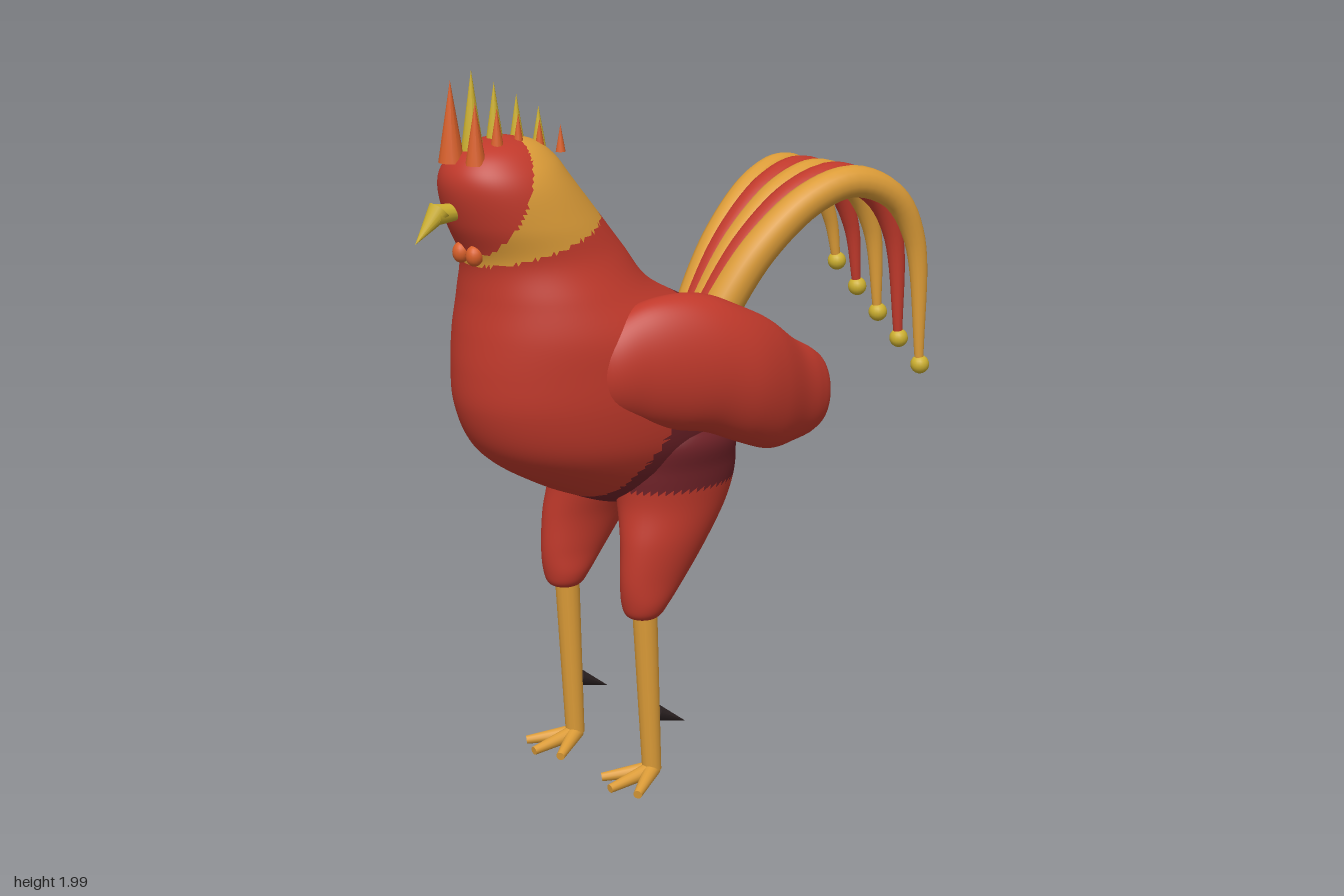
import * as THREE from 'three';
import { mergeVertices } from 'three/addons/utils/BufferGeometryUtils.js';

const V = (x, y, z) => new THREE.Vector3(x, y, z);
const paint = (name, color) => {
  const m = new THREE.MeshStandardMaterial({ color });
  m.name = name;
  return m;
};

// Smooth closed body from oval sections [position along axis, centre x, centre other, radius x, radius other]
function loft(axis, rows, around = 72, steps = 7) {
  const spline = new THREE.CubicInterpolant(rows.map((r, i) => i), rows.flat(), 5);
  const n = (rows.length - 1) * steps;
  let geo = new THREE.PlaneGeometry(1, 1, around, n);
  const pos = geo.attributes.position;
  for (let j = 0; j <= n; j++) {
    const [t, cx, co, rx, ro] = spline.evaluate(j / steps);
    for (let i = 0; i <= around; i++) {
      const a = ((i % around) / around) * Math.PI * 2;
      const x = cx + Math.max(rx, 0) * Math.cos(a), o = co + Math.max(ro, 0) * Math.sin(a);
      if (axis === 'y') pos.setXYZ(j * (around + 1) + i, x, t, o);
      else pos.setXYZ(j * (around + 1) + i, x, o, t);
    }
  }
  geo.deleteAttribute('uv');
  geo.deleteAttribute('normal');
  geo = mergeVertices(geo, 1e-5);
  geo.computeVertexNormals();
  return geo;
}

// Sort faces into material groups; rule(x, y, z) gives the material number
function paintFaces(geo, count, rule) {
  const pos = geo.attributes.position, idx = geo.index.array;
  const lists = Array.from({ length: count }, () => []);
  for (let f = 0; f < idx.length; f += 3) {
    const c = V(0, 0, 0);
    for (let k = 0; k < 3; k++) c.add(V(0, 0, 0).fromBufferAttribute(pos, idx[f + k]));
    c.divideScalar(3);
    lists[rule(c.x, c.y, c.z)].push(idx[f], idx[f + 1], idx[f + 2]);
  }
  geo.setIndex(lists.flat());
  let start = 0;
  lists.forEach((l, i) => { geo.addGroup(start, l.length, i); start += l.length; });
  return geo;
}

// Tapered round rod between two points
function rod(from, to, r0, r1, sides = 14) {
  const dir = to.clone().sub(from);
  const geo = new THREE.CylinderGeometry(r1, r0, dir.length(), sides);
  geo.applyQuaternion(new THREE.Quaternion().setFromUnitVectors(V(0, 1, 0), dir.clone().normalize()));
  const mid = from.clone().add(to).multiplyScalar(0.5);
  return geo.translate(mid.x, mid.y, mid.z);
}

// Tube whose radius follows a rule along its length
function taperedTube(curve, radiusAt, n = 48, sides = 14) {
  const geo = new THREE.TubeGeometry(curve, n, 1, sides);
  const pos = geo.attributes.position, p = V(0, 0, 0);
  for (let i = 0; i <= n; i++) {
    const c = curve.getPointAt(i / n);
    for (let k = 0; k <= sides; k++) {
      const id = i * (sides + 1) + k;
      p.fromBufferAttribute(pos, id).sub(c).multiplyScalar(radiusAt(i / n)).add(c);
      pos.setXYZ(id, p.x, p.y, p.z);
    }
  }
  return geo;
}

export function createModel() {
  const model = new THREE.Group();
  const red = paint('red feathers', 0xc0392b), maroon = paint('maroon feathers', 0x702228);
  const black = paint('black feathers', 0x2e2424), gold = paint('gold feathers', 0xdc9c38);
  const yellow = paint('yellow horn', 0xcdb030), orange = paint('orange comb', 0xd9602a);
  const add = (name, geo, mat, parent = model) => {
    const mesh = new THREE.Mesh(geo, mat);
    mesh.name = name;
    parent.add(mesh);
    return mesh;
  };
  const group = (name) => {
    const g = new THREE.Group();
    g.name = name;
    model.add(g);
    return g;
  };

  // Body, neck and head: [height, front z, back z, half width]
  const trunk = [
    [0.77, 0.13, 0.13, 0], [0.783, 0.24, 0.02, 0.09], [0.82, 0.34, -0.03, 0.16], [0.86, 0.43, -0.12, 0.21],
    [0.93, 0.55, -0.22, 0.255], [1.0, 0.62, -0.262, 0.285], [1.1, 0.66, -0.275, 0.302], [1.2, 0.665, -0.22, 0.302],
    [1.3, 0.655, -0.07, 0.285], [1.4, 0.64, 0.11, 0.24], [1.5, 0.64, 0.19, 0.197], [1.6, 0.685, 0.27, 0.182],
    [1.7, 0.71, 0.35, 0.16], [1.76, 0.69, 0.395, 0.125], [1.8, 0.635, 0.45, 0.075], [1.82, 0.54, 0.54, 0],
  ].map(([y, f, b, w]) => [y, 0, (f + b) / 2, w, (f - b) / 2]);
  const face = V(0, 1.71, 0.68);
  const bodyRule = (x, y, z) => {
    if (y > 1.49 + (0.64 - z) * 0.3 && y > 1.45) return face.distanceTo(V(x, y, z)) < 0.2 ? 0 : 3;
    if (y > 1.4) return 0;
    if (z < -0.04) return 2;
    return z < 0.04 + (1.34 - y) * 0.56 ? 1 : 0;
  };
  add('body', paintFaces(loft('y', trunk, 96, 8), 4, bodyRule), [red, maroon, black, gold]);

  for (const s of [1, -1]) {
    const side = s > 0 ? 'left' : 'right';

    // Wing, swept back from the shoulder
    add(side + 'Wing', loft('z', [
      [0.45, 0.2, 1.21, 0, 0], [0.4, 0.22, 1.21, 0.065, 0.1], [0.3, 0.25, 1.22, 0.088, 0.155],
      [0.2, 0.275, 1.215, 0.105, 0.182], [0.1, 0.292, 1.2, 0.118, 0.188], [0, 0.306, 1.158, 0.12, 0.188],
      [-0.1, 0.305, 1.115, 0.105, 0.18], [-0.2, 0.288, 1.08, 0.083, 0.145], [-0.27, 0.287, 1.067, 0.062, 0.118],
      [-0.315, 0.285, 1.062, 0.042, 0.08], [-0.335, 0.284, 1.06, 0, 0],
    ].map(([t, x, ...r]) => [t, x * s, ...r])), red);

    // Thigh, darker where it joins the hip
    const thigh = loft('y', [
      [0.48, 0.176, 0.218, 0, 0], [0.492, 0.176, 0.218, 0.042, 0.044], [0.53, 0.177, 0.21, 0.062, 0.068],
      [0.6, 0.179, 0.183, 0.071, 0.102], [0.7, 0.176, 0.142, 0.09, 0.137], [0.8, 0.156, 0.1, 0.118, 0.168],
      [0.9, 0.148, 0.09, 0.138, 0.185], [1.0, 0.15, 0.1, 0.14, 0.16], [1.1, 0.16, 0.12, 0, 0],
    ].map(([t, x, ...r]) => [t, x * s, ...r]), 48);
    add(side + 'Thigh', paintFaces(thigh, 2, (x, y) => (y > 0.85 ? 1 : 0)), [red, maroon]);

    // Shank, three toes and spur
    const foot = group(side + 'Foot'), x = 0.175 * s;
    add('shank', rod(V(x, 0.04, 0.188), V(x, 0.52, 0.212), 0.027, 0.035), gold, foot);
    for (const [dx, dz] of [[-0.08, 0.3], [0, 0.333], [0.08, 0.3]])
      add('toe', rod(V(x, 0.038, 0.185), V(x + dx, 0.016, dz), 0.023, 0.012), gold, foot);
    add('spur', rod(V(x, 0.2, 0.175), V(x, 0.15, 0.07), 0.024, 0, 10), black, foot);

    // Wattle
    add(side + 'Wattle', new THREE.SphereGeometry(0.023, 16, 12).scale(1, 1.2, 1)
      .translate(0.03 * s, 1.52, 0.65), orange);
  }

  // Beak with a hooked tip
  const beak = group('beak');
  add('beakBase', rod(V(0, 1.635, 0.66), V(0, 1.635, 0.75), 0.02, 0.028), yellow, beak);
  add('beakTip', rod(V(0, 1.645, 0.735), V(0, 1.565, 0.812), 0.031, 0, 16), yellow, beak);

  // Comb: three rows of spikes shrinking towards the back
  const comb = group('comb');
  const spike = (px, z, base, tip, r, mat) => {
    add('combSpike', rod(V(px, base, z), V(px, tip, z), r, 0, 12), mat, comb);
  };
  for (let i = 0; i < 5; i++) {
    const z = 0.68 - 0.07 * i, k = 1 - 0.13 * i;
    spike(-0.022, z, 1.76, 1.97 - 0.032 * i, 0.034 * k, orange);
    spike(0.05 - 0.004 * i, z - 0.025, 1.76, 1.92 - 0.022 * i, 0.027 * k, orange);
    if (i < 4) spike(0, z - 0.05, 1.77, 1.995 - 0.038 * i, 0.032 * k, yellow);
  }

  // Tail: five arched plumes, each ending in a bead
  const tail = group('tail');
  for (let i = 0; i < 5; i++) {
    const u = (i - 2) / 2, endY = 1.27 - 0.06 * i;
    const path = new THREE.CatmullRomCurve3([
      V(0.03 * u, 1.14, -0.09), V(0.055 * u, 1.28, -0.16), V(0.085 * u, 1.43, -0.27), V(0.12 * u, 1.55, -0.42),
      V(0.147 * u, 1.585, -0.55), V(0.17 * u, 1.53, -0.68), V(0.178 * u, 1.4, -0.757), V(0.18 * u, endY, -0.785),
    ]);
    const radius = (t) => (t < 0.5 ? 0.058 - 0.024 * t : 0.046 - 0.068 * (t - 0.5));
    add('plume', taperedTube(path, radius), i % 2 ? red : gold, tail);
    add('plumeBead', new THREE.SphereGeometry(0.027, 18, 12).translate(0.18 * u, endY, -0.787), yellow, tail);
  }

  return model;
}
